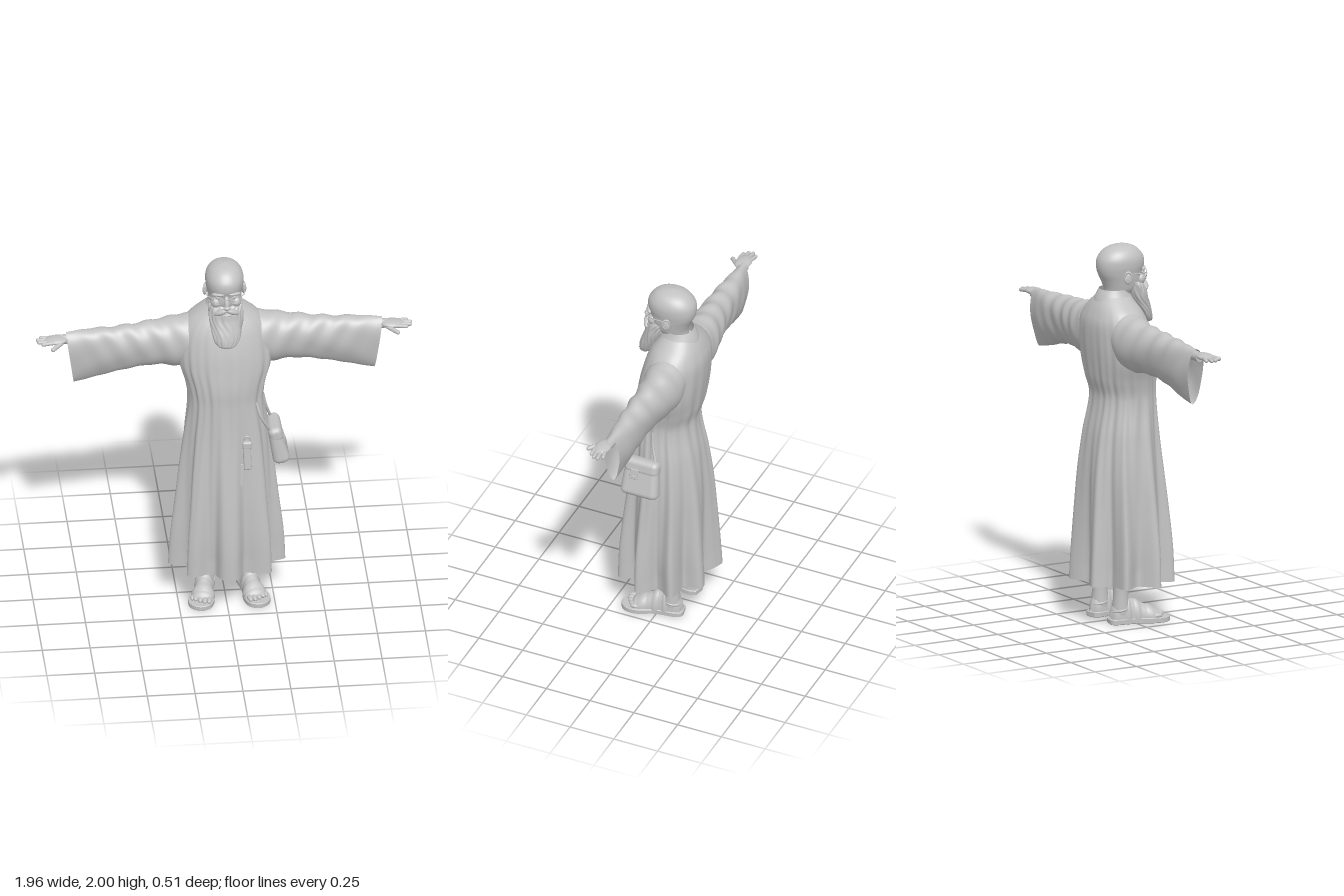
import * as THREE from 'three';
import { RoundedBoxGeometry } from 'three/addons/geometries/RoundedBoxGeometry.js';

const { sin, cos, abs, sign, PI, min, max } = Math;
const clay = new THREE.MeshStandardMaterial({ color: 0xc2c2c2, side: THREE.DoubleSide });
clay.name = 'clay grey';

// Smooth interpolation of table rows keyed on the first column
function sample(rows, k) {
  let i = 0;
  while (i < rows.length - 2 && k > rows[i + 1][0]) i++;
  const a = rows[i], b = rows[i + 1], h = b[0] - a[0], t = (k - a[0]) / h;
  const p = rows[max(i - 1, 0)], n = rows[min(i + 2, rows.length - 1)];
  return a.slice(1).map((_, j) => {
    const c = j + 1, m0 = (b[c] - p[c]) / (b[0] - p[0]) * h, m1 = (n[c] - a[c]) / (n[0] - a[0]) * h;
    return (2 * t ** 3 - 3 * t * t + 1) * a[c] + (t ** 3 - 2 * t * t + t) * m0
      + (3 * t * t - 2 * t ** 3) * b[c] + (t ** 3 - t * t) * m1;
  });
}

// Closed-section skin: fn(angle, v) gives a point
function skin(nu, nv, fn) {
  const pos = [], idx = [];
  for (let j = 0; j <= nv; j++) for (let i = 0; i < nu; i++) {
    pos.push(...fn(i / nu * 2 * PI, j / nv));
    if (j === nv) continue;
    const a = j * nu + i, b = j * nu + (i + 1) % nu;
    idx.push(a, a + nu, b, b, a + nu, b + nu);
  }
  const g = new THREE.BufferGeometry();
  g.setAttribute('position', new THREE.Float32BufferAttribute(pos, 3));
  g.setIndex(idx);
  g.computeVertexNormals();
  return g;
}

// Upright body from rows of [y, left x, right x, front z, back z]
function upright(rows, nu, nv, power = 1, fold = () => 1) {
  const y0 = rows[0][0], y1 = rows[rows.length - 1][0];
  return skin(nu, nv, (a, v) => {
    const y = y0 + (y1 - y0) * v, [l, r, f, b] = sample(rows, y), k = fold(a, y);
    const c = sign(cos(a)) * abs(cos(a)) ** power, s = sign(sin(a)) * abs(sin(a)) ** power;
    return [(l + r) / 2 + (l - r) / 2 * c * k, y, (f + b) / 2 + (f - b) / 2 * s * k];
  });
}

function add(parent, name, geo, at = [0, 0, 0], rot = [0, 0, 0], scale = [1, 1, 1]) {
  const m = new THREE.Mesh(geo, clay);
  m.name = name;
  m.position.set(...at);
  m.rotation.set(...rot);
  m.scale.set(...scale);
  parent.add(m);
  return m;
}
const ball = () => new THREE.SphereGeometry(1, 24, 16);
const tube = (pts, r, n = 20) => new THREE.TubeGeometry(
  new THREE.CatmullRomCurve3(pts.map(p => new THREE.Vector3(...p))), n, r, 8);
// Rounded rod between two points
function rod(parent, name, a, b, r) {
  const A = new THREE.Vector3(...a), d = new THREE.Vector3(...b).sub(A);
  const m = add(parent, name, new THREE.CapsuleGeometry(r, d.length(), 6, 12));
  m.position.copy(A).addScaledVector(d, 0.5);
  m.quaternion.setFromUnitVectors(new THREE.Vector3(0, 1, 0), d.normalize());
}

function buildRobe(root) {
  const rows = [
    [0.215, 0.305, -0.29, 0.252, -0.252], [0.4, 0.297, -0.28, 0.246, -0.242], [0.6, 0.277, -0.26, 0.228, -0.23],
    [0.8, 0.257, -0.24, 0.204, -0.215], [1.0, 0.232, -0.215, 0.18, -0.188], [1.2, 0.2, -0.19, 0.163, -0.152],
    [1.3, 0.215, -0.205, 0.16, -0.175], [1.4, 0.245, -0.235, 0.146, -0.19], [1.5, 0.245, -0.24, 0.128, -0.2],
    [1.6, 0.225, -0.225, 0.1, -0.2], [1.66, 0.185, -0.185, 0.075, -0.182], [1.7, 0.135, -0.135, 0.05, -0.163],
    [1.74, 0.085, -0.085, 0.025, -0.135]];
  // Deep folds at the hem shrink to fine pleats at the waist and fade at the neck
  const fold = (a, y) => {
    const low = max(0, min(1, (1.2 - y) / 0.9)), chest = max(0, min(1, (1.7 - y) / 0.4));
    const wave = cos(9 * (a - PI / 2) + 0.2 * sin(2 * a + y));
    return 1 + 0.13 * low * (wave - 0.72) + 0.012 * chest * cos(23 * a + 2 * sin(3 * a))
      + 0.016 * chest * (1 - low) * cos(13 * a + 1);
  };
  add(root, 'robe', upright(rows, 220, 90, 0.93, fold));
  add(root, 'collar', upright([[1.66, 0.12, -0.12, 0.06, -0.168], [1.71, 0.105, -0.105, 0.05, -0.158],
    [1.75, 0.085, -0.085, 0.03, -0.14], [1.768, 0.078, -0.078, 0.02, -0.128]], 48, 10));
}

function buildArm(root, side) {
  const arm = new THREE.Group();
  arm.name = side > 0 ? 'leftArm' : 'rightArm';
  arm.scale.x = side;
  root.add(arm);
  // Rows of [x, top y, bottom y, front z, back z]
  const rows = [[0.08, 1.65, 1.46, 0.03, -0.14], [0.18, 1.662, 1.385, 0.055, -0.168], [0.25, 1.652, 1.368, 0.052, -0.163],
    [0.33, 1.64, 1.378, 0.042, -0.15], [0.45, 1.628, 1.376, 0.04, -0.128], [0.6, 1.616, 1.35, 0.038, -0.118],
    [0.7, 1.612, 1.325, 0.03, -0.112], [0.78, 1.604, 1.308, 0.024, -0.097], [0.825, 1.6, 1.3, 0.022, -0.09]];
  // Sleeve hangs below the arm, with creases fanning from the armpit
  add(arm, 'sleeve', skin(72, 80, (a, v) => {
    const x = 0.08 + 0.745 * v, [t, b, f, k] = sample(rows, x), low = (1 - sin(a)) / 2;
    const crease = 1 + 0.07 * sin(PI * v) * sin(52 * x + 6 * low + 2 * cos(a)) * (0.4 + 0.6 * (1 - low))
      + 0.03 * sin(5 * a + 14 * x) * v;
    const pinch = 1 - 0.45 * low * v;
    return [x - 0.04 * low * v ** 3, (t + b) / 2 + (t - b) / 2 * sin(a) * (1 + (crease - 1) * 0.5),
      (f + k) / 2 + (f - k) / 2 * cos(a) * pinch * crease];
  }));
  add(arm, 'forearm', new THREE.CylinderGeometry(0.025, 0.04, 0.42, 20), [0.645, 1.565, -0.032], [0, 0, -PI / 2]);
  // Hand
  add(arm, 'palm', ball(), [0.878, 1.572, -0.017], [0, 0, -0.04], [0.062, 0.018, 0.043]);
  [[0.957, -0.052], [0.976, -0.03], [0.972, -0.006], [0.952, 0.015]].forEach(([x, z], i) =>
    rod(arm, 'finger', [0.9, 1.572, -0.042 + 0.019 * i], [x - 0.004, 1.567, z], 0.0102));
  rod(arm, 'thumb', [0.85, 1.566, 0.008], [0.9, 1.556, 0.054], 0.0115);
}

function buildHead(root) {
  const head = new THREE.Group();
  head.name = 'head';
  root.add(head);
  const sym = rows => rows.map(([y, w, f, b]) => [y, w, -w, f, b]);
  add(head, 'skull', upright(sym([[1.66, 0.062, 0.03, -0.1], [1.74, 0.066, 0.05, -0.1], [1.77, 0.078, 0.088, -0.103],
    [1.81, 0.087, 0.106, -0.118], [1.85, 0.093, 0.106, -0.137], [1.89, 0.099, 0.117, -0.145],
    [1.93, 0.097, 0.113, -0.139], [1.965, 0.08, 0.088, -0.113], [1.985, 0.056, 0.06, -0.082],
    [1.996, 0.028, 0.025, -0.045], [2.0, 0, -0.012, -0.012]]), 48, 60, 0.95));
  // Beard with wavy strands
  add(head, 'beard', upright(sym([[1.563, 0, 0.135, 0.135], [1.575, 0.04, 0.163, 0.105], [1.6, 0.062, 0.166, 0.085],
    [1.64, 0.075, 0.157, 0.06], [1.68, 0.082, 0.143, 0.035], [1.72, 0.088, 0.13, 0.015],
    [1.76, 0.088, 0.122, -0.002], [1.79, 0.086, 0.104, -0.008], [1.805, 0.078, 0.085, -0.01]]), 72, 36, 0.95,
  (a, y) => 1 + 0.035 * cos(17 * a + 5 * sin(28 * y)) + 0.025 * cos(9 * a - 30 * y)));
  add(head, 'nose', ball(), [0, 1.825, 0.118], [-0.32, 0, 0], [0.015, 0.042, 0.018]);
  add(head, 'noseTip', ball(), [0, 1.803, 0.128], [0, 0, 0], [0.019, 0.014, 0.016]);
  add(head, 'lowerLip', ball(), [0, 1.753, 0.12], [0, 0, 0], [0.022, 0.007, 0.01]);
  for (const s of [-1, 1]) {
    add(head, 'moustache', ball(), [s * 0.03, 1.773, 0.117], [0, s * 0.3, -s * 0.45], [0.042, 0.015, 0.018]);
    add(head, 'cheek', ball(), [s * 0.052, 1.812, 0.075], [0, 0, 0], [0.028, 0.03, 0.027]);
    add(head, 'brow', ball(), [s * 0.042, 1.87, 0.097], [0, s * 0.35, -s * 0.12], [0.036, 0.01, 0.015]);
    add(head, 'eye', ball(), [s * 0.04, 1.846, 0.088], [0, 0, 0], [0.016, 0.01, 0.011]);
    add(head, 'ear', ball(), [s * 0.099, 1.833, -0.02], [0.15, s * 0.4, 0], [0.009, 0.034, 0.02]);
    add(head, 'earRim', new THREE.TorusGeometry(0.019, 0.005, 8, 24), [s * 0.102, 1.838, -0.023],
      [0, PI / 2 + s * 0.4, 0], [1, 1.4, 1]);
    // Spectacles
    add(head, 'lensFrame', new THREE.TorusGeometry(0.026, 0.0025, 8, 32), [s * 0.045, 1.84, 0.113],
      [0, s * 0.25, 0], [1, 0.85, 1]);
    add(head, 'templeArm', tube([[s * 0.07, 1.846, 0.107], [s * 0.098, 1.85, 0.06], [s * 0.103, 1.85, -0.01],
      [s * 0.102, 1.83, -0.04]], 0.003));
  }
  add(head, 'bridge', tube([[-0.02, 1.845, 0.119], [0, 1.852, 0.129], [0.02, 1.845, 0.119]], 0.003, 10));
}

function buildFoot(root, side) {
  const foot = new THREE.Group();
  foot.name = side > 0 ? 'leftFoot' : 'rightFoot';
  foot.position.set(side > 0 ? 0.12 : -0.095, 0, -0.065);
  foot.rotation.y = side * 0.17;
  foot.scale.x = side;
  root.add(foot);
  add(foot, 'leg', new THREE.LatheGeometry([[0.045, 0.05], [0.047, 0.09], [0.039, 0.14], [0.041, 0.22], [0.055, 0.4],
    [0.06, 0.8]].map(p => new THREE.Vector2(...p)), 24));
  // Sole outline, toes toward +z
  const outline = new THREE.Shape(new THREE.SplineCurve([[-0.03, 0.06], [0.03, 0.06], [0.047, 0.02], [0.046, -0.08],
    [0.07, -0.17], [0.058, -0.235], [0.01, -0.263], [-0.042, -0.24], [-0.058, -0.17], [-0.042, -0.08], [-0.047, 0.02],
    [-0.03, 0.06]].map(p => new THREE.Vector2(...p))).getPoints(48));
  const sole = new THREE.ExtrudeGeometry(outline, { depth: 0.022, bevelSize: 0.004, bevelThickness: 0.003, bevelSegments: 1 });
  add(foot, 'sole', sole, [0, 0.003, 0], [-PI / 2, 0, 0]);
  // Rows of [z, half width, height]
  const rows = [[-0.06, 0.006, 0.03], [-0.045, 0.034, 0.075], [0, 0.045, 0.115], [0.05, 0.045, 0.108], [0.1, 0.049, 0.084],
    [0.16, 0.057, 0.056], [0.2, 0.055, 0.036], [0.215, 0.02, 0.012]];
  const section = (z, a, grow = 0) => {
    const [w, h] = sample(rows, z);
    return [-cos(a) * (w + grow), 0.024 + max(0, sin(a)) * (h + grow), z];
  };
  add(foot, 'instep', skin(32, 30, (a, v) => section(-0.06 + 0.275 * v, a)));
  [-0.038, -0.015, 0.009, 0.034].forEach((x, i) =>
    add(foot, 'toe', ball(), [x, 0.037, 0.214 - 0.006 * abs(i - 0.6) ** 1.5], [0, 0, 0], [0.014, 0.014, 0.03]));
  add(foot, 'littleToe', ball(), [0.052, 0.035, 0.187], [0, 0, 0], [0.012, 0.012, 0.025]);
  // Sandal straps arch over the foot
  [[0.13, 0.05], [0.065, 0.035], [0.02, 0.025]].forEach(([z0, w]) => add(foot, 'strap',
    skin(32, 6, (a, v) => section(z0 + w * v, a, 0.001 + 0.005 * sin(PI * v)))));
  add(foot, 'heelStrap', new THREE.TorusGeometry(0.043, 0.007, 8, 32), [0, 0.075, -0.002], [PI / 2 - 0.2, 0, 0], [1, 1.1, 1]);
}

function buildBag(root) {
  const bag = new THREE.Group();
  bag.name = 'shoulderBag';
  bag.position.set(0.268, 0.94, 0.04);
  bag.rotation.z = 0.22;
  root.add(bag);
  const body = new RoundedBoxGeometry(0.078, 0.21, 0.198, 5, 0.032), p = body.attributes.position;
  // Wider toward the bottom
  for (let i = 0; i < p.count; i++) p.setXYZ(i, p.getX(i) * (1 - p.getY(i) * 1.8), p.getY(i), p.getZ(i) * (1 - p.getY(i) * 0.8));
  body.computeVertexNormals();
  add(bag, 'pouch', body);
  add(bag, 'flap', new RoundedBoxGeometry(0.074, 0.085, 0.192, 4, 0.03), [0.003, 0.066, 0]);
  add(bag, 'flapTab', new RoundedBoxGeometry(0.012, 0.06, 0.045, 3, 0.005), [0.038, 0.025, 0.03]);
  add(bag, 'button', ball(), [0.045, 0.012, 0.03], [0, 0, 0], [0.004, 0.008, 0.008]);
  add(root, 'bagStrap', tube([[0.155, 1.21, 0.115], [0.178, 1.13, 0.135], [0.225, 1.04, 0.115]], 0.008));
  add(root, 'bagStrap', tube([[0.198, 1.2, 0.01], [0.215, 1.12, 0], [0.245, 1.03, -0.03]], 0.008));
  // Small case hanging at the front
  const kit = new THREE.Group();
  kit.name = 'hangingCase';
  kit.position.set(0.102, 0, 0.168);
  root.add(kit);
  add(kit, 'case', new RoundedBoxGeometry(0.042, 0.15, 0.03, 3, 0.01), [0, 0.915, 0], [-0.08, 0, 0.04]);
  add(kit, 'caseLid', new RoundedBoxGeometry(0.05, 0.04, 0.036, 3, 0.01), [0, 0.985, -0.006]);
  add(kit, 'caseRing', new THREE.TorusGeometry(0.017, 0.005, 8, 24), [0, 1.015, -0.008]);
  add(kit, 'hangingStrip', new RoundedBoxGeometry(0.028, 0.13, 0.008, 2, 0.003), [-0.03, 0.81, 0.012], [-0.1, 0, -0.1]);
}

export function createModel() {
  const root = new THREE.Group();
  root.name = 'robedFigure';
  buildRobe(root);
  buildHead(root);
  for (const side of [1, -1]) {
    buildArm(root, side);
    buildFoot(root, side);
  }
  buildBag(root);
  return root;
}
